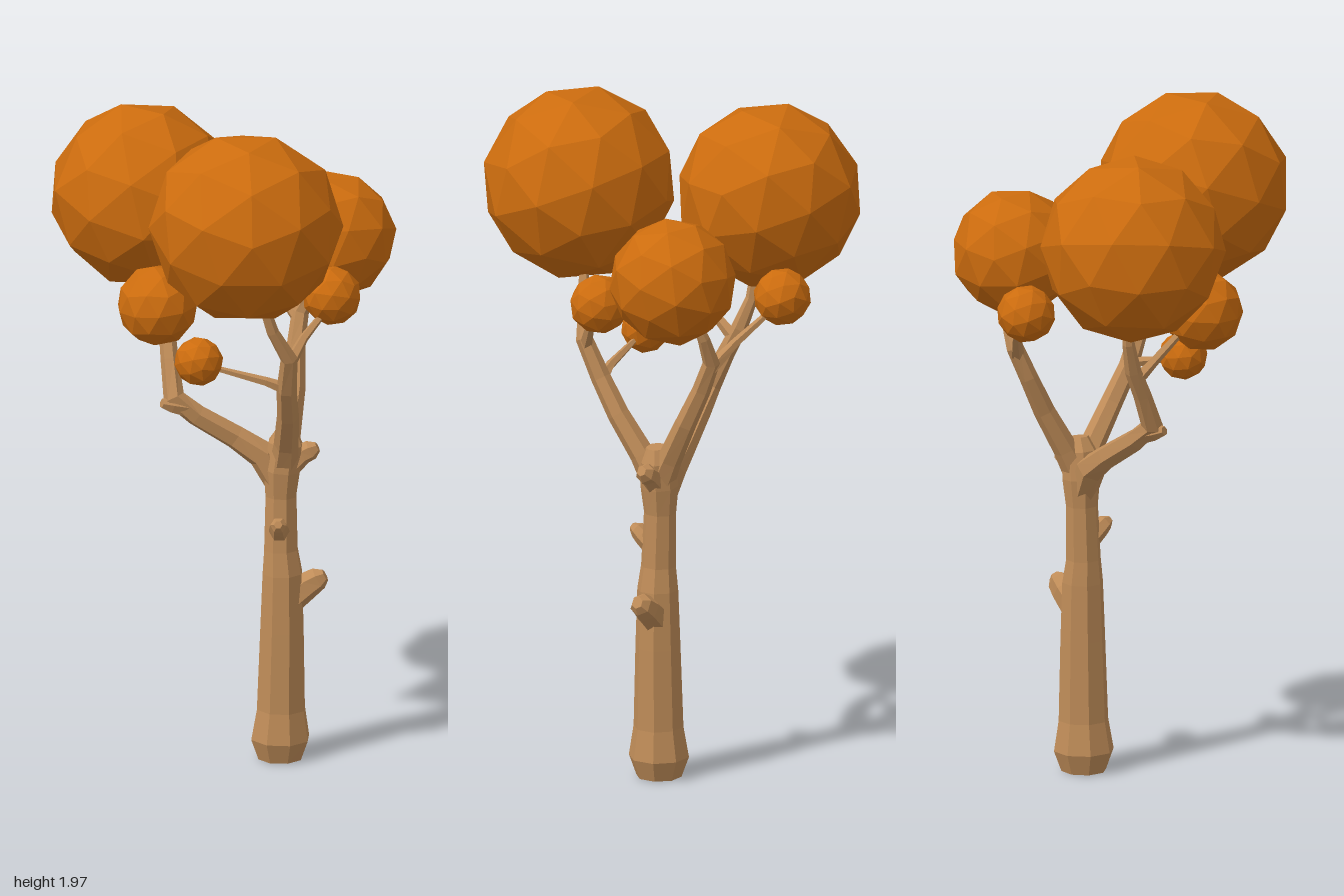
import * as THREE from 'three';

const bark = new THREE.MeshStandardMaterial({ color: 0xbf8c58, flatShading: true });
const leaf = new THREE.MeshStandardMaterial({ color: 0xcc6c0e, flatShading: true });

// Tapered, bent limb: nodes are [x, y, z, radius], ends are capped
function limb(name, nodes, sides = 6) {
  const pts = nodes.map(n => new THREE.Vector3(n[0], n[1], n[2]));
  const up = new THREE.Vector3(0, 1, 0);
  const pos = [], index = [], last = pts.length - 1;
  pts.forEach((p, i) => {
    const dir = pts[Math.min(i + 1, last)].clone().sub(pts[Math.max(i - 1, 0)]).normalize();
    const q = new THREE.Quaternion().setFromUnitVectors(up, dir);
    for (let j = 0; j < sides; j++) {
      const a = (j + 0.5) / sides * Math.PI * 2, r = nodes[i][3];
      const v = new THREE.Vector3(Math.sin(a) * r, 0, Math.cos(a) * r).applyQuaternion(q).add(p);
      pos.push(v.x, v.y, v.z);
    }
  });
  for (let i = 0; i < last; i++) {
    for (let j = 0; j < sides; j++) {
      const a = i * sides + j, b = i * sides + (j + 1) % sides;
      index.push(a, b, b + sides, a, b + sides, a + sides);
    }
  }
  const top = last * sides;
  for (let j = 1; j < sides - 1; j++) {
    index.push(0, j + 1, j, top, top + j, top + j + 1);
  }
  const g = new THREE.BufferGeometry();
  g.setAttribute('position', new THREE.Float32BufferAttribute(pos, 3));
  g.setIndex(index);
  g.computeVertexNormals();
  const mesh = new THREE.Mesh(g, bark);
  mesh.name = name;
  return mesh;
}

// Faceted ball of leaves, slightly uneven
function foliage(name, x, y, z, r, turn) {
  const g = new THREE.IcosahedronGeometry(r, 1);
  const p = g.attributes.position, v = new THREE.Vector3();
  for (let i = 0; i < p.count; i++) {
    v.fromBufferAttribute(p, i);
    const u = v.clone().divideScalar(r);
    const wobble = Math.sin(u.x * 7 + turn) * Math.sin(u.y * 6 + turn * 2) * Math.cos(u.z * 8 - turn);
    v.multiplyScalar(1 + 0.03 * wobble);
    p.setXYZ(i, v.x, v.y, v.z);
  }
  g.computeVertexNormals();
  const mesh = new THREE.Mesh(g, leaf);
  mesh.position.set(x, y, z);
  mesh.rotation.set(turn, turn * 1.7, turn * 0.6);
  mesh.name = name;
  return mesh;
}

export function createModel() {
  const tree = new THREE.Group();
  tree.name = 'tree';

  // Trunk with a flared foot
  tree.add(limb('trunk', [
    [0.17, 0.01, -0.105, 0.066], [0.17, 0.07, -0.105, 0.088], [0.172, 0.16, -0.105, 0.073],
    [0.175, 0.4, -0.105, 0.066], [0.176, 0.57, -0.105, 0.06], [0.172, 0.64, -0.105, 0.051],
    [0.172, 0.8, -0.11, 0.047], [0.175, 0.88, -0.11, 0.056], [0.185, 0.96, -0.11, 0.052],
    [0.19, 1.0, -0.11, 0.03],
  ], 8));

  // Main branches
  tree.add(limb('leftBranch', [
    [0.17, 0.83, -0.11, 0.04], [0.12, 0.92, -0.115, 0.044], [0.04, 0.975, -0.11, 0.036],
    [-0.07, 1.045, -0.09, 0.033], [-0.135, 1.1, -0.08, 0.032], [-0.15, 1.2, -0.125, 0.026],
    [-0.16, 1.28, -0.165, 0.024], [-0.18, 1.37, -0.195, 0.018], [-0.19, 1.5, -0.21, 0.014],
  ]));
  tree.add(limb('frontBranch', [
    [0.18, 0.88, -0.11, 0.044], [0.19, 0.97, -0.06, 0.036], [0.2, 1.08, 0.015, 0.032],
    [0.2, 1.18, 0.075, 0.029], [0.21, 1.29, 0.125, 0.025], [0.165, 1.38, 0.155, 0.018],
    [0.13, 1.5, 0.18, 0.013],
  ]));
  tree.add(limb('backBranch', [
    [0.18, 0.88, -0.11, 0.044], [0.19, 0.97, -0.155, 0.036], [0.205, 1.09, -0.22, 0.031],
    [0.205, 1.2, -0.275, 0.027], [0.215, 1.29, -0.315, 0.025], [0.255, 1.37, -0.315, 0.018],
    [0.29, 1.46, -0.29, 0.013],
  ]));

  // Thin twigs carrying the small leaf balls
  const twigs = [
    [[0.2, 1.18, 0.07, 0.02], [0.14, 1.205, 0.08, 0.014], [-0.04, 1.255, 0.09, 0.007]],
    [[0.21, 1.27, 0.12, 0.02], [0.25, 1.34, 0.08, 0.014], [0.33, 1.43, 0.01, 0.008]],
    [[0.21, 1.27, -0.31, 0.02], [0.15, 1.34, -0.355, 0.014], [0.01, 1.44, -0.42, 0.008]],
    [[-0.155, 1.25, -0.15, 0.02], [-0.16, 1.3, -0.09, 0.015], [-0.175, 1.42, 0.05, 0.009]],
  ];
  twigs.forEach((t, i) => tree.add(limb('twig' + (i + 1), t, 5)));

  // Stubs of broken branches
  const stubs = [
    [[0.2, 0.49, -0.11, 0.045], [0.25, 0.53, -0.115, 0.04], [0.28, 0.55, -0.115, 0.034], [0.299, 0.56, -0.115, 0.018]],
    [[0.17, 0.69, -0.09, 0.032], [0.17, 0.72, -0.05, 0.028], [0.17, 0.735, -0.03, 0.024], [0.17, 0.742, -0.013, 0.012]],
    [[0.19, 0.89, -0.11, 0.04], [0.235, 0.925, -0.115, 0.03], [0.258, 0.938, -0.115, 0.03], [0.277, 0.948, -0.115, 0.015]],
    [[-0.1, 1.07, -0.085, 0.03], [-0.14, 1.08, -0.072, 0.025], [-0.168, 1.088, -0.06, 0.014]],
  ];
  stubs.forEach((s, i) => tree.add(limb('stub' + (i + 1), s)));

  // Foliage: x, y, z, radius
  const balls = [
    [-0.235, 1.67, -0.22, 0.268], [0.09, 1.718, 0.223, 0.28], [0.313, 1.545, -0.247, 0.184],
    [0.008, 1.455, -0.423, 0.084], [0.325, 1.443, -0.003, 0.086], [-0.172, 1.428, 0.072, 0.118],
    [-0.053, 1.265, 0.088, 0.071],
  ];
  balls.forEach((b, i) => tree.add(foliage('foliage' + (i + 1), ...b, 0.4 + i * 0.9)));

  return tree;
}
